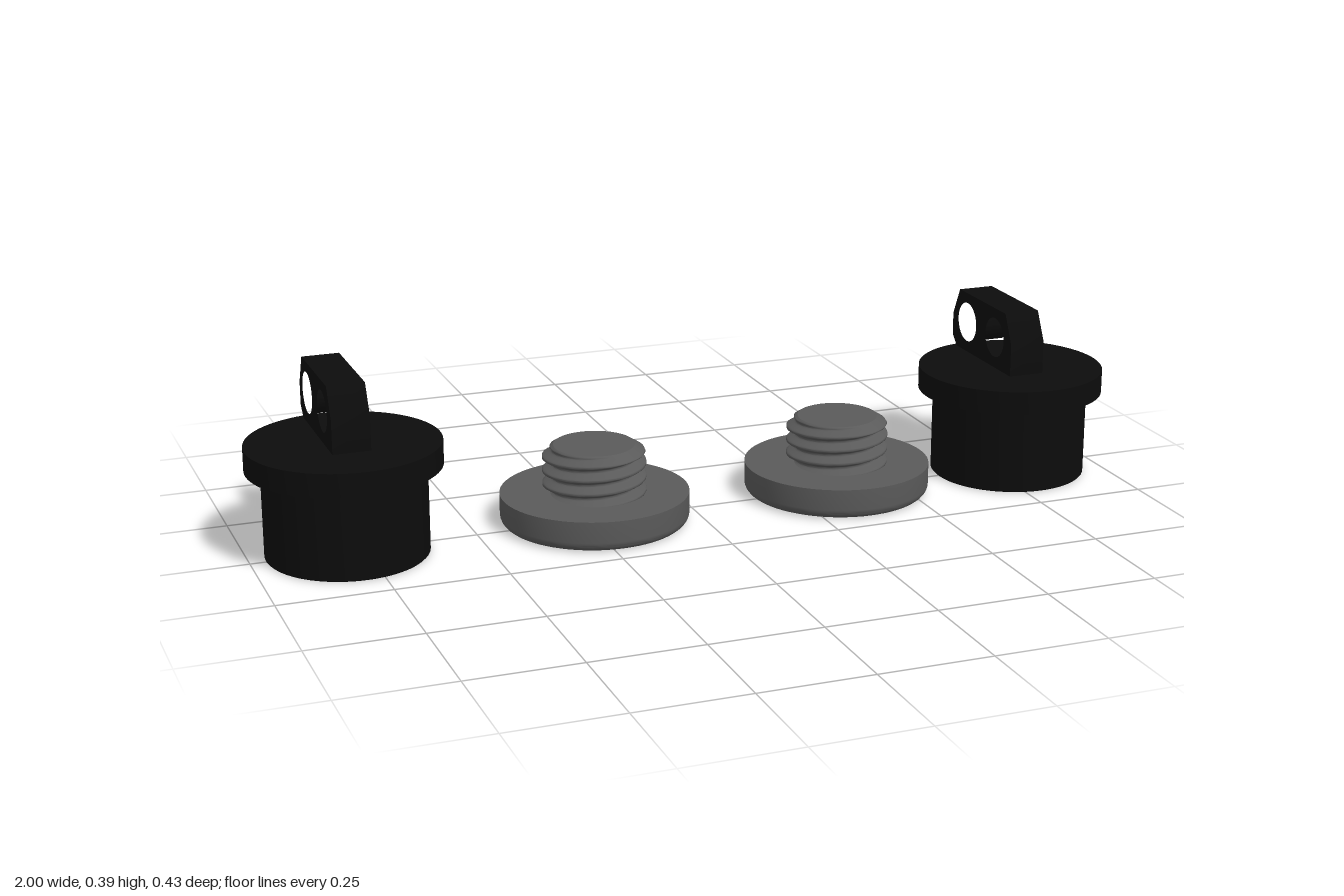
import * as THREE from 'three';
import { toCreasedNormals, mergeVertices } from 'three/addons/utils/BufferGeometryUtils.js';

const capMaterial = new THREE.MeshStandardMaterial({ color: 0x0c0c0c });
const plugMaterial = new THREE.MeshStandardMaterial({ color: 0x5a5a5a });

function part(name, geometry, material) {
  const mesh = new THREE.Mesh(geometry, material);
  mesh.name = name;
  return mesh;
}

// Solid of revolution from [radius, y] pairs, with sharp edges kept
function turned(points) {
  const profile = points.map(([r, y]) => new THREE.Vector2(r, y));
  return toCreasedNormals(new THREE.LatheGeometry(profile, 72), 0.5);
}

// Upright tab with chamfered corners and two cross holes, drawn in (z, y)
function tabGeometry(width) {
  const outline = [[0.083, 0.245], [0.083, 0.325], [0.05, 0.39], [-0.182, 0.39],
    [-0.213, 0.325], [-0.213, 0.273], [-0.186, 0.245]];
  const shape = new THREE.Shape(outline.map(([z, y]) => new THREE.Vector2(-z, y)));
  for (const z of [0, -0.139]) {
    shape.holes.push(new THREE.Path().absarc(-z, 0.321, 0.046, 0, Math.PI * 2, true));
  }
  const geometry = new THREE.ExtrudeGeometry(shape, { depth: width, bevelEnabled: false, curveSegments: 32 });
  geometry.translate(0, 0, -width / 2).rotateY(Math.PI / 2);
  return toCreasedNormals(geometry, 0.5);
}

// Stud whose radius follows a right-handed trapezoidal helix
function threadGeometry() {
  const bottom = 0.068, top = 0.178, pitch = 0.031, rows = 66;
  const profile = [];
  for (let i = 0; i <= rows; i++) {
    profile.push(new THREE.Vector2(1, bottom + (top - bottom) * i / rows));
  }
  const geometry = new THREE.LatheGeometry(profile, 72);
  geometry.deleteAttribute('uv');
  geometry.deleteAttribute('normal');
  const pos = geometry.attributes.position;
  for (let i = 0; i < pos.count; i++) {
    const x = pos.getX(i), y = pos.getY(i), z = pos.getZ(i);
    const turn = (y - bottom) / pitch - Math.atan2(x, z) / (2 * Math.PI);
    const wave = Math.abs((turn - Math.floor(turn)) * 2 - 1);
    const crest = THREE.MathUtils.clamp((wave - 0.2) / 0.6, 0, 1);
    // the tip tapers to a plain lead-in
    const r = Math.min(0.094 + 0.021 * crest, 0.09 + (top - y) * 1.6);
    pos.setXYZ(i, x * r, y, z * r);
  }
  const merged = mergeVertices(geometry, 1e-5);
  merged.computeVertexNormals();
  return merged;
}

function createCap() {
  const cap = new THREE.Group();
  cap.name = 'cap';
  // Hollow body, open below, with a flange on top
  const body = turned([[0, 0.15], [0.152, 0.15], [0.152, 0], [0.174, 0], [0.177, 0.003],
    [0.177, 0.197], [0.211, 0.197], [0.211, 0.25], [0, 0.25]]);
  body.translate(0, 0, 0.004);
  cap.add(part('capBody', body, capMaterial));
  cap.add(part('capTab', tabGeometry(0.083), capMaterial));
  return cap;
}

function createPlug() {
  const plug = new THREE.Group();
  plug.name = 'plug';
  // Disc head with a rounded lower edge
  const head = [[0, 0]];
  for (let i = 0; i <= 6; i++) {
    const a = i / 6 * Math.PI / 2;
    head.push([0.188 + 0.022 * Math.sin(a), 0.022 - 0.022 * Math.cos(a)]);
  }
  head.push([0.21, 0.07], [0, 0.07]);
  plug.add(part('plugHead', turned(head), plugMaterial));
  plug.add(part('plugThread', threadGeometry(), plugMaterial));
  const end = new THREE.CircleGeometry(0.09, 72).rotateX(-Math.PI / 2).translate(0, 0.178, 0);
  plug.add(part('plugEnd', end, plugMaterial));
  return plug;
}

export function createModel() {
  const model = new THREE.Group();
  model.name = 'capsAndPlugs';
  for (const x of [-0.789, 0.789]) {
    const cap = createCap();
    cap.position.x = x;
    model.add(cap);
  }
  for (const x of [-0.229, 0.354]) {
    const plug = createPlug();
    plug.position.x = x;
    model.add(plug);
  }
  return model;
}
